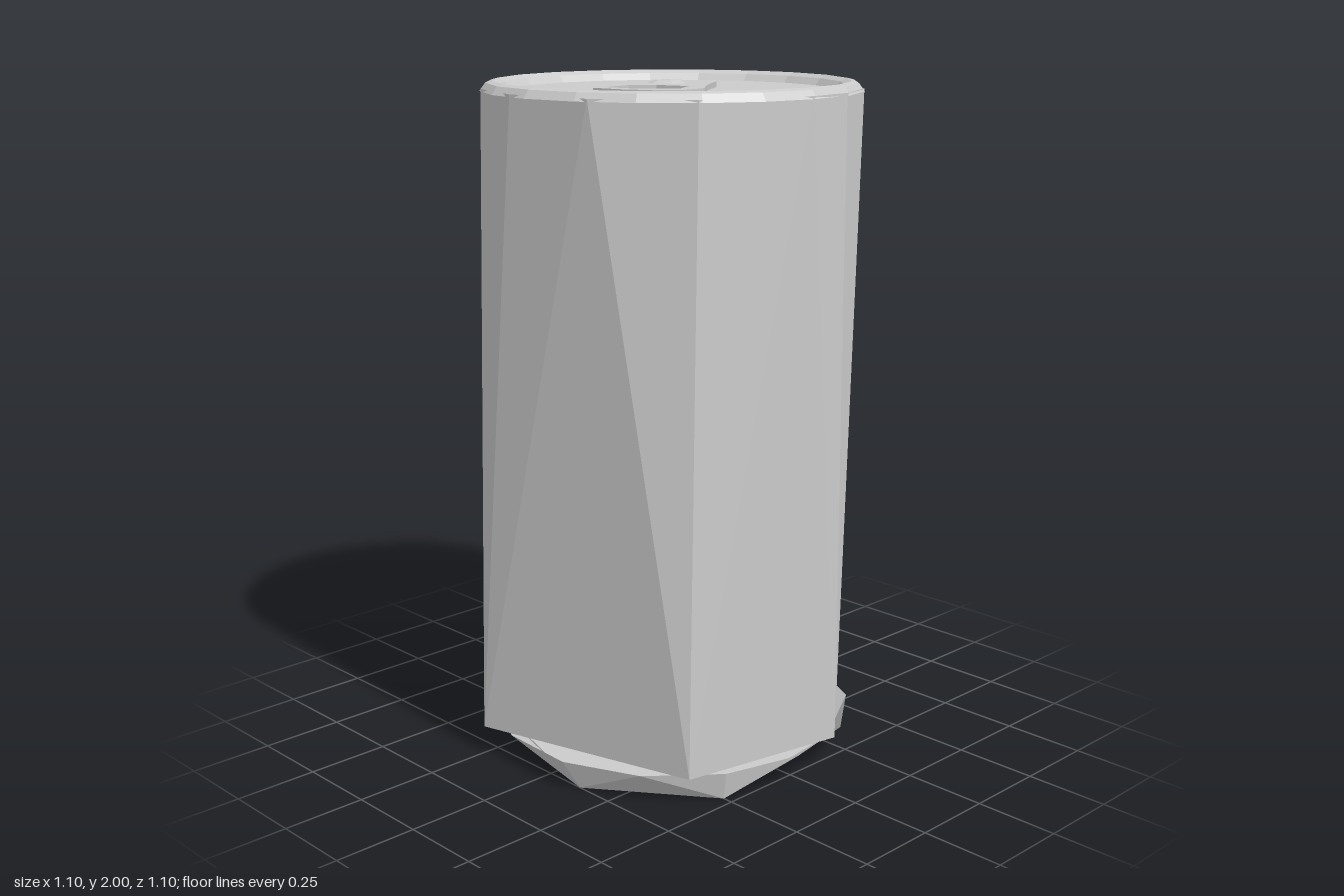
import * as THREE from 'three';

const material = new THREE.MeshStandardMaterial({
  color: 0xcccccc, flatShading: true, side: THREE.DoubleSide,
});

// Ring of points at the given angles (degrees from +x towards +z)
function ring(angles, radius, y) {
  return angles.map((deg) => {
    const a = THREE.MathUtils.degToRad(deg);
    return new THREE.Vector3(radius * Math.cos(a), y, radius * Math.sin(a));
  });
}

const at = (points, y) => points.map(([x, z]) => new THREE.Vector3(x, y, z));

// Skin between two closed rings of different counts, always taking the shorter diagonal
function stitch(low, high) {
  const corners = [];
  let i = 0, j = 0;
  const L = (k) => low[k % low.length];
  const H = (k) => high[k % high.length];
  while (i < low.length || j < high.length) {
    const stepLow = j >= high.length ||
      (i < low.length && L(i + 1).distanceTo(H(j)) < L(i).distanceTo(H(j + 1)));
    if (stepLow) {
      corners.push(L(i), H(j), L(i + 1));
      i++;
    } else {
      corners.push(L(i), H(j), H(j + 1));
      j++;
    }
  }
  const geometry = new THREE.BufferGeometry().setFromPoints(corners);
  geometry.computeVertexNormals();
  return geometry;
}

function add(parent, name, geometry) {
  const mesh = new THREE.Mesh(geometry, material);
  mesh.name = name;
  parent.add(mesh);
  return mesh;
}

// Flat shape drawn in x,z and given thickness downwards from y = top
function plate(outline, hole, top, thickness) {
  const toV2 = ([x, z]) => new THREE.Vector2(x, z);
  const shape = new THREE.Shape(outline.map(toV2));
  if (hole) shape.holes.push(new THREE.Path(hole.map(toV2)));
  const geometry = new THREE.ExtrudeGeometry(shape, { depth: thickness, bevelEnabled: false });
  return geometry.rotateX(Math.PI / 2).translate(0, top, 0);
}

export function createModel() {
  const can = new THREE.Group();
  can.name = 'drinkCan';

  // Body: five uneven corners below, a rounder ring above
  const bodyFoot = at([[0.44, 0.36], [-0.25, 0.55], [-0.54, -0.29], [0.2, -0.545], [0.54, -0.15]], 0.085);
  const bodyTop = ring([37, 68, 97, 123, 150, 180, 208, 235, 265, 290, 323, 344, 361], 0.55, 1.98);
  add(can, 'body', stitch(bodyFoot, bodyTop));

  // Base: shallow dish narrowing to a six-sided floor
  const floorCorners = [[0.47, 0.25], [0.13, 0.5], [-0.37, 0.35], [-0.49, -0.17], [-0.13, -0.5], [0.4, -0.28]];
  const dishAngles = Array.from({ length: 14 }, (_, k) => 28 + (k * 360) / 14);
  add(can, 'baseDish', stitch(at(floorCorners, 0), ring(dishAngles, 0.55, 0.085)));
  add(can, 'baseFloor', plate(floorCorners, null, 0.004, 0.004));

  // Lid: raised rim around a flat panel
  const lidProfile = [[0.552, 1.972], [0.535, 1.995], [0.515, 2], [0.495, 1.99], [0.478, 1.97], [0, 1.97]]
    .map(([r, y]) => new THREE.Vector2(r, y));
  add(can, 'lid', new THREE.LatheGeometry(lidProfile, 20));

  // Pull tab with finger hole, nose recess and rivet
  const tab = new THREE.Group();
  tab.name = 'pullTab';
  can.add(tab);
  const tabOutline = [[-0.13, -0.02], [-0.09, -0.085], [-0.02, -0.115], [0.06, -0.12], [0.16, 0.02],
    [0.25, 0.12], [0.265, 0.215], [0.21, 0.28], [0.13, 0.315], [0.03, 0.33], [-0.01, 0.28], [-0.1, 0.07]];
  const fingerHole = [[0.01, 0.18], [0.06, 0.12], [0.16, 0.09], [0.215, 0.18], [0.13, 0.27], [0.03, 0.285]];
  add(tab, 'tabPlate', plate(tabOutline, fingerHole, 1.992, 0.016));
  const rivet = add(tab, 'rivet', new THREE.CylinderGeometry(0.035, 0.06, 0.008, 6));
  rivet.position.set(0.01, 1.996, 0.03);

  return can;
}
